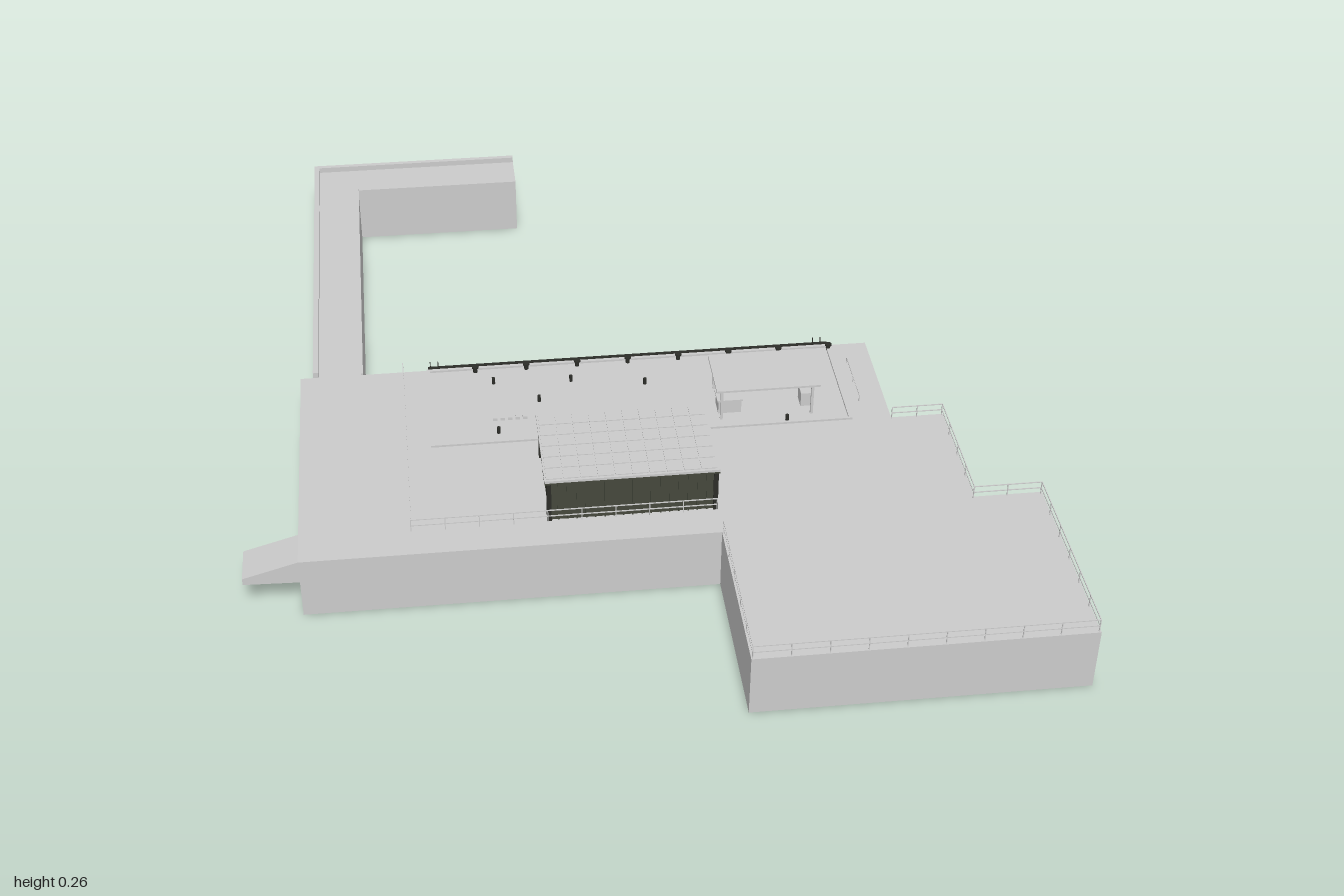
import * as THREE from 'three';

const grey = new THREE.MeshStandardMaterial({ color: 0xcccccc });
const dark = new THREE.MeshStandardMaterial({ color: 0x45483c });
const black = new THREE.MeshStandardMaterial({ color: 0x2c2d28 });
const DECK = 0.147;

// Box given by its minimum and maximum corners
function box(parent, name, [x0, y0, z0], [x1, y1, z1], mat = grey) {
  const m = new THREE.Mesh(new THREE.BoxGeometry(x1 - x0, y1 - y0, z1 - z0), mat);
  m.position.set((x0 + x1) / 2, (y0 + y1) / 2, (z0 + z1) / 2);
  m.name = name;
  parent.add(m);
  return m;
}

function group(parent, name) {
  const g = new THREE.Group();
  g.name = name;
  parent.add(g);
  return g;
}

function cylinder(parent, name, r, h, x, y, z, mat = grey) {
  const m = new THREE.Mesh(new THREE.CylinderGeometry(r, r, h, 10), mat);
  m.position.set(x, y, z);
  m.name = name;
  parent.add(m);
  return m;
}

// Railing along axis-aligned [x, z] points, with posts and horizontal bars
function railing(parent, name, points, height, bars, spacing = 0.075) {
  const g = group(parent, name), t = 0.001;
  for (let i = 0; i + 1 < points.length; i++) {
    const [ax, az] = points[i], [bx, bz] = points[i + 1];
    const n = Math.max(1, Math.round(Math.hypot(bx - ax, bz - az) / spacing));
    for (let k = 0; k <= n; k++) {
      const x = ax + (bx - ax) * k / n, z = az + (bz - az) * k / n;
      box(g, 'post', [x - t, DECK, z - t], [x + t, DECK + height, z + t]);
    }
    for (let b = 1; b <= bars; b++) {
      const y = DECK + height * b / bars;
      box(g, 'bar', [Math.min(ax, bx) - t, y - t, Math.min(az, bz) - t],
        [Math.max(ax, bx) + t, y + t, Math.max(az, bz) + t]);
    }
  }
}

export function createModel() {
  const model = new THREE.Group();
  model.name = 'harbourQuay';

  // Quay blocks
  const quay = group(model, 'quay');
  box(quay, 'backBlock', [-0.747, 0, -0.047], [0.593, DECK, 0.25]);
  box(quay, 'frontBlock', [-0.747, 0, 0.25], [0.15, DECK, 0.608]);
  box(quay, 'sideBlock', [0.15, 0, 0.25], [0.713, DECK, 0.55]);
  box(quay, 'cornerBlock', [0.15, 0, 0.55], [0.863, DECK, 1]);

  // Sloping ramp on the right end
  const profile = new THREE.Shape([[-0.747, DECK], [-0.866, 0.112], [-0.866, 0.096], [-0.747, 0.092]]
    .map(p => new THREE.Vector2(...p)));
  const ramp = new THREE.Mesh(new THREE.ExtrudeGeometry(profile, { depth: 0.09, bevelEnabled: false }), grey);
  ramp.position.z = 0.518;
  ramp.name = 'ramp';
  model.add(ramp);

  // L-shaped breakwater with a parapet on its outer edges
  const pier = group(model, 'breakwater');
  box(pier, 'longArm', [-0.712, 0, -0.885], [-0.603, DECK, -0.047]);
  box(pier, 'shortArm', [-0.717, 0, -1], [-0.185, DECK, -0.885]);
  box(pier, 'longParapet', [-0.718, DECK - 0.006, -1], [-0.705, 0.161, -0.047]);
  box(pier, 'shortParapet', [-0.705, DECK - 0.006, -1], [-0.185, 0.161, -0.988]);
  box(pier, 'innerKerb', [-0.607, DECK, -0.885], [-0.602, 0.151, -0.047]);

  // Railings
  railing(model, 'quayRailing', [[0.153, 0.612], [0.153, 0.996], [0.859, 0.996], [0.859, 0.554],
    [0.709, 0.554], [0.709, 0.254], [0.593, 0.254]], 0.031, 2);
  railing(model, 'yardFence', [[-0.508, -0.04], [-0.508, 0.533], [0.15, 0.533]], 0.031, 2);
  railing(model, 'shortRail', [[0.533, 0.03], [0.533, 0.18]], 0.016, 1);

  // Kerb framing the working area
  const kerb = group(model, 'workAreaKerb');
  for (const x of [-0.45, 0.5]) box(kerb, 'kerbEnd', [x - 0.004, DECK, -0.045], [x + 0.004, 0.152, 0.248]);
  box(kerb, 'kerbFront', [-0.45, DECK, 0.242], [0.5, 0.152, 0.248]);
  box(kerb, 'kerbBack', [-0.45, DECK, -0.047], [0.5, 0.152, -0.037]);

  // Mooring edge: dark beam, tyre fenders, bollards and ladders
  const edge = group(model, 'mooringEdge');
  box(edge, 'edgeBeam', [-0.45, 0.14, -0.053], [0.5, 0.154, -0.045], black);
  const tyreGeo = new THREE.TorusGeometry(0.011, 0.0045, 8, 16);
  for (let i = 0; i < 8; i++) {
    const x = -0.4 + i * 0.12;
    const tyre = new THREE.Mesh(tyreGeo, black);
    tyre.position.set(x, 0.112, -0.052);
    tyre.name = 'tyreFender';
    edge.add(tyre);
    box(edge, 'tyreChain', [x - 0.001, 0.12, -0.051], [x + 0.001, 0.147, -0.047], black);
    cylinder(edge, 'bollard', 0.005, 0.012, x + 0.06, DECK + 0.006, -0.03, black);
    cylinder(edge, 'bollardCap', 0.008, 0.004, x + 0.06, DECK + 0.014, -0.03, black);
  }
  for (const x of [-0.435, 0.475]) {
    for (const s of [-1, 1]) box(edge, 'ladderRail', [x + s * 0.009 - 0.001, 0.075, -0.052], [x + s * 0.009 + 0.001, 0.168, -0.049], black);
    for (let k = 0; k < 7; k++) box(edge, 'ladderRung', [x - 0.009, 0.08 + k * 0.012, -0.052], [x + 0.009, 0.082 + k * 0.012, -0.05], black);
  }

  // Workshop building
  const shop = group(model, 'workshop');
  box(shop, 'walls', [-0.212, DECK, 0.306], [0.147, 0.252, 0.526], dark);
  box(shop, 'roof', [-0.221, 0.251, 0.298], [0.155, 0.257, 0.533]);
  for (let i = 0; i < 10; i++) for (let j = 0; j < 6; j++) {
    const x = -0.217 + i * 0.0369, z = 0.302 + j * 0.038;
    box(shop, 'roofTile', [x, 0.257, z], [x + 0.034, 0.259, z + 0.035]);
  }
  box(shop, 'roofTrimFront', [-0.221, 0.246, 0.526], [0.155, 0.252, 0.532], dark);
  for (const x of [-0.212, 0.147]) for (const z of [0.306, 0.526])
    box(shop, 'cornerPost', [x - 0.005, DECK, z - 0.005], [x + 0.005, 0.252, z + 0.005], black);
  for (let i = 1; i < 18; i++) {
    const x = -0.212 + i * 0.02;
    box(shop, 'wallRib', [x - 0.0015, DECK, 0.526], [x + 0.0015, 0.25, 0.5285], dark);
  }
  // Back doors and windows, with windows on the ends
  box(shop, 'bigDoor', [0.015, DECK, 0.303], [0.085, 0.222, 0.307]);
  box(shop, 'smallDoor', [-0.045, DECK, 0.303], [-0.015, 0.208, 0.307]);
  for (const x of [-0.19, -0.12]) {
    box(shop, 'windowFrame', [x, 0.178, 0.303], [x + 0.05, 0.222, 0.307]);
    box(shop, 'windowPane', [x + 0.004, 0.182, 0.302], [x + 0.046, 0.218, 0.306], black);
  }
  for (const z of [0.34, 0.4]) {
    box(shop, 'endWindowFrame', [-0.215, 0.18, z], [-0.21, 0.225, z + 0.04]);
    box(shop, 'endWindowPane', [-0.216, 0.184, z + 0.004], [-0.211, 0.221, z + 0.036], black);
  }
  box(shop, 'sideDoor', [0.144, DECK, 0.42], [0.15, 0.215, 0.46]);
  box(shop, 'sideUnit', [0.148, 0.178, 0.43], [0.163, 0.2, 0.47], black);
  box(shop, 'doorLamp', [-0.16, 0.226, 0.278], [-0.12, 0.231, 0.306], black);
  for (const x of [-0.155, -0.1, 0.08]) cylinder(shop, 'barrel', 0.007, 0.024, x, DECK + 0.012, 0.289, black);

  // Open shelter on posts with a kiosk and bench beneath
  const shelter = group(model, 'shelter');
  box(shelter, 'shelterRoof', [0.193, 0.229, 0.082], [0.43, 0.234, 0.226]);
  for (const z of [0.095, 0.213]) {
    for (const x of [0.207, 0.415]) box(shelter, 'shelterPost', [x - 0.003, DECK, z - 0.003], [x + 0.003, 0.23, z + 0.003]);
    box(shelter, 'roofBeam', [0.2, 0.223, z - 0.002], [0.424, 0.229, z + 0.002]);
  }
  box(shelter, 'kiosk', [0.203, DECK, 0.152], [0.256, 0.18, 0.192]);
  box(shelter, 'kioskTop', [0.2, 0.18, 0.149], [0.259, 0.184, 0.195]);
  box(shelter, 'cabinet', [0.395, DECK, 0.15], [0.425, 0.182, 0.185]);

  // Small loose fittings on the deck
  const fittings = group(model, 'deckFittings');
  for (const [x, z] of [[-0.3, 0.21], [0.355, 0.235], [-0.3, 0.02], [-0.12, 0.03], [-0.04, 0.21], [0.17, 0.21], [0.05, 0.06], [-0.2, 0.1]])
    cylinder(fittings, 'deckPost', 0.004, 0.016, x, DECK + 0.008, z, black);
  for (let i = 0; i < 5; i++) box(fittings, 'crate', [-0.31 + i * 0.017, DECK, 0.155], [-0.3 + i * 0.017, 0.154, 0.165]);
  return model;
}
